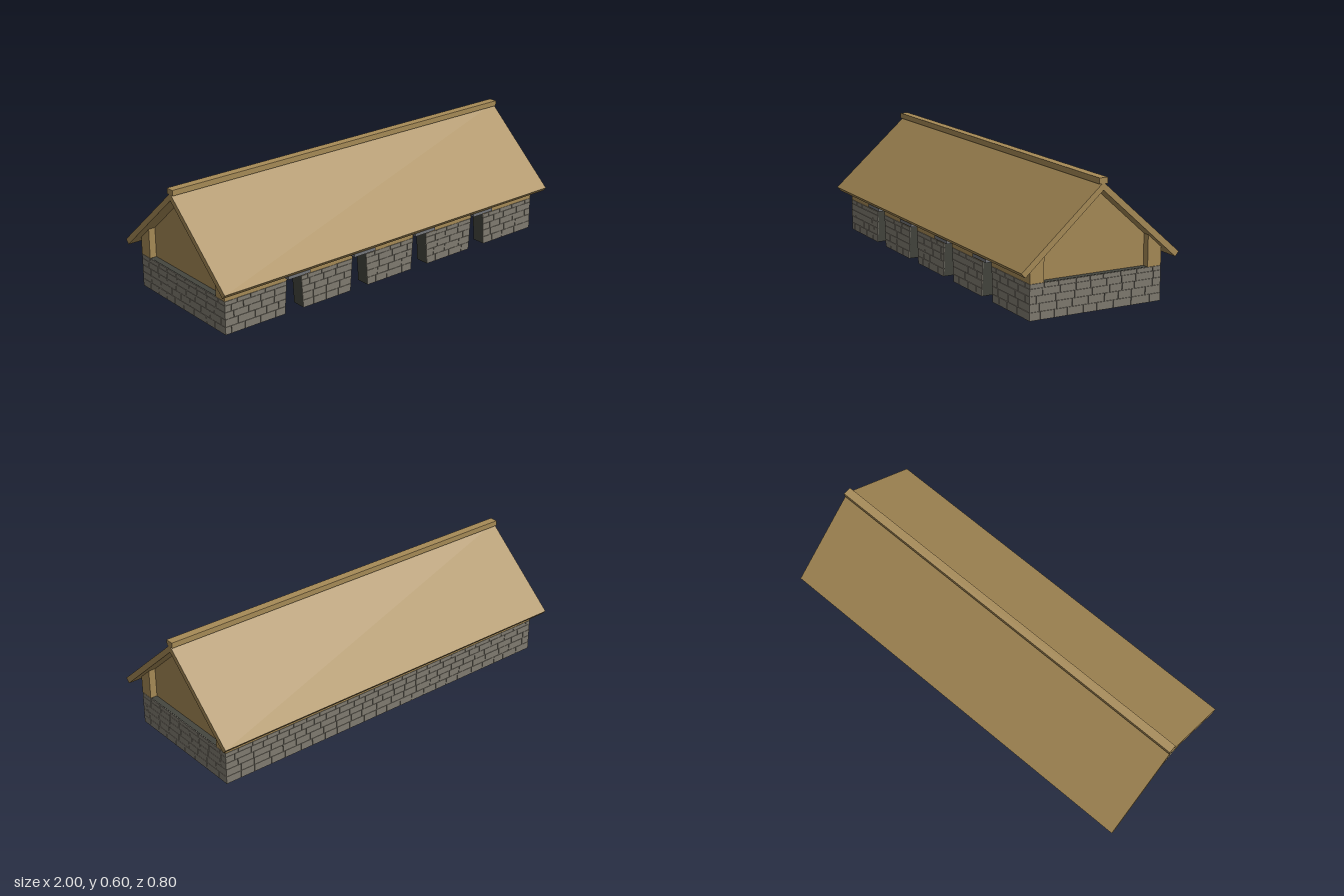
import * as THREE from 'three';
import { mergeGeometries } from 'three/addons/utils/BufferGeometryUtils.js';

const mat = (name, color) => new THREE.MeshStandardMaterial({ name, color });

const X = 0.957, Z = 0.335;      // outer half sizes of the walls
const SKIN = 0.004;              // thickness of the facing stones
const WALL = 0.07;               // wall thickness
const STONE_TOP = 0.163, EAVE = 0.248, DOOR_TOP = 0.19;
const DOORS = [-0.575, -0.19, 0.19, 0.575];
const COURSES = [0, 0.038, 0.075, 0.109, 0.142, STONE_TOP];

const doorHalf = (y) => 0.053 - 0.07 * y;

// polygon (x, y) extruded along z from z0 by depth
function slab(points, z0, depth) {
  const shape = new THREE.Shape(points.map(([x, y]) => new THREE.Vector2(x, y)));
  return new THREE.ExtrudeGeometry(shape, { depth, bevelEnabled: false }).translate(0, 0, z0);
}

// polygon (z, y) extruded along x, centred on the given x
function prism(points, length, x = 0) {
  return slab(points, -length / 2, length).rotateY(-Math.PI / 2).translate(x, 0, 0);
}

function box(x0, x1, y0, y1, z0, z1) {
  return new THREE.BoxGeometry(x1 - x0, y1 - y0, z1 - z0)
    .translate((x0 + x1) / 2, (y0 + y1) / 2, (z0 + z1) / 2);
}

function seeded(seed) {
  return () => (seed = (seed * 16807) % 2147483647) / 2147483647;
}

// wall pieces between the doorways; each end is a function of height
function frontSpans(half) {
  const ends = [() => -half];
  for (const d of DOORS) ends.push((y) => d - doorHalf(y), (y) => d + doorHalf(y));
  ends.push(() => half);
  const spans = [];
  for (let i = 0; i < ends.length; i += 2) spans.push([ends[i], ends[i + 1]]);
  return spans;
}

// courses of irregular facing stones over the given spans
function facing(spans, rand) {
  const stones = [];
  for (let r = 0; r < COURSES.length - 1; r++) {
    const y0 = COURSES[r], y1 = COURSES[r + 1] - 0.0015;
    for (const [left, right] of spans) {
      const end = Math.min(right(y0), right(y1));
      let b = left(y0), t = left(y1), first = true;
      for (;;) {
        const next = Math.max(b, t) + (first ? 0.03 + 0.05 * rand() : 0.06 + 0.035 * rand());
        const last = next > end - 0.03;
        stones.push(slab([
          [b, y0], [last ? right(y0) : next, y0],
          [last ? right(y1) : next, y1], [t, y1],
        ], 0, SKIN));
        if (last) break;
        b = t = next + 0.003;
        first = false;
      }
    }
  }
  return mergeGeometries(stones);
}

export function createModel() {
  const wood = mat('wood', 0xa68a56);
  const stone = mat('stone', 0x807b70);
  const mortar = mat('mortar', 0x45463f);
  const lintelGrey = mat('lintel stone', 0x74767a);

  const model = new THREE.Group();
  model.name = 'longHouse';
  const add = (name, geometry, material) => {
    const mesh = new THREE.Mesh(geometry, material);
    mesh.name = name;
    model.add(mesh);
    return mesh;
  };

  // dark wall cores, with tapered doorways at the front
  const cx = X - SKIN, cz = Z - SKIN, inner = Z - WALL;
  add('frontWallCore', mergeGeometries(frontSpans(cx).map(([l, r]) => slab(
    [[l(0), 0], [r(0), 0], [r(STONE_TOP), STONE_TOP], [l(STONE_TOP), STONE_TOP]],
    inner, cz - inner))), mortar);
  add('backWallCore', box(-cx, cx, 0, STONE_TOP, -cz, -inner), mortar);
  for (const [side, s] of [['left', 1], ['right', -1]]) {
    const a = s * cx, b = s * (X - WALL);
    add(side + 'WallCore', box(Math.min(a, b), Math.max(a, b), 0, STONE_TOP, -inner, inner), mortar);
  }

  // facing stones on all four sides
  const rand = seeded(71);
  const plain = (half) => [[() => -half, () => half]];
  add('frontStones', facing(frontSpans(X), rand).translate(0, 0, cz), stone);
  add('backStones', facing(plain(X), rand).translate(0, 0, cz).rotateY(Math.PI), stone);
  add('leftStones', facing(plain(Z), rand).translate(0, 0, cx).rotateY(Math.PI / 2), stone);
  add('rightStones', facing(plain(Z), rand).translate(0, 0, cx).rotateY(-Math.PI / 2), stone);

  // timber wall bands, the front one notched over the doorways
  const outline = [[-X, STONE_TOP]];
  for (const d of DOORS) {
    const b = doorHalf(STONE_TOP), t = doorHalf(DOOR_TOP);
    outline.push([d - b, STONE_TOP], [d - t, DOOR_TOP], [d + t, DOOR_TOP], [d + b, STONE_TOP]);
  }
  outline.push([X, STONE_TOP], [X, EAVE], [-X, EAVE]);
  add('frontBand', slab(outline, inner, WALL), wood);
  add('backBand', box(-X, X, STONE_TOP, EAVE, -Z, -inner), wood);

  // sloped wall plates filling up to the roof
  const shoulder = EAVE + WALL * 0.886;
  add('frontWallPlate', prism([[inner, EAVE], [Z, EAVE], [inner, shoulder]], 2 * X), wood);
  add('backWallPlate', prism([[-Z, EAVE], [-inner, EAVE], [-inner, shoulder]], 2 * X), wood);

  // gables set back between the bands
  const gable = [[-inner, STONE_TOP], [inner, STONE_TOP], [inner, shoulder], [0, 0.548], [-inner, shoulder]];
  add('leftGable', prism(gable, 0.04, 0.903), wood);
  add('rightGable', prism(gable, 0.04, -0.903), wood);

  // roof slabs and ridge beam
  add('roof', prism([[0, 0.58], [-0.4, 0.228], [-0.381, 0.207], [0, 0.545], [0.381, 0.207], [0.4, 0.228]], 2), wood);
  add('ridgeBeam', box(-1, 1, 0.573, 0.6, -0.021, 0.021), wood);

  // lintels jutting out over the doorways
  for (const d of DOORS) {
    add('lintel', box(d - 0.063, d + 0.063, DOOR_TOP - 0.002, 0.213, Z - 0.02, 0.376), lintelGrey);
  }
  return model;
}
